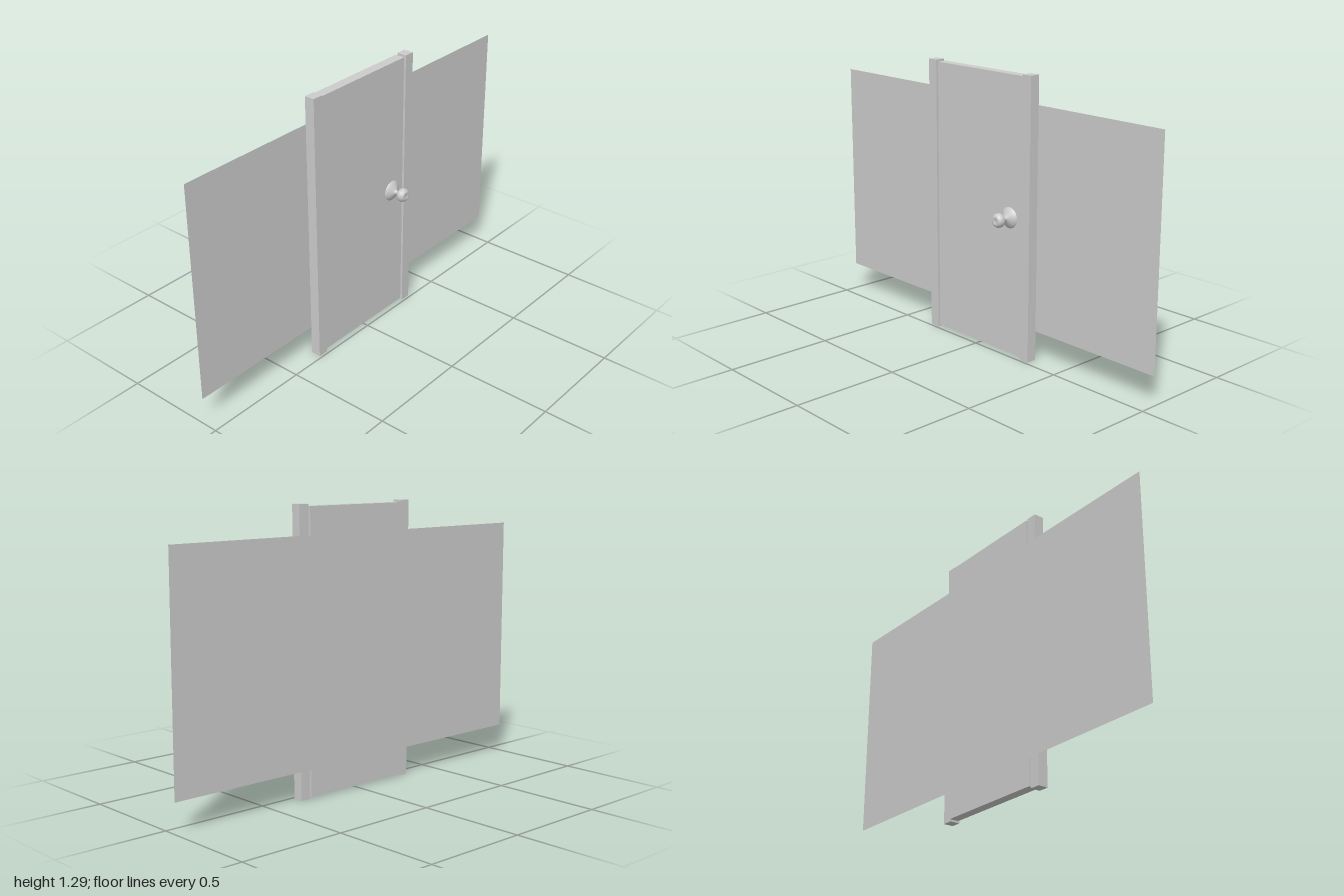
import * as THREE from 'three';

const grey = new THREE.MeshStandardMaterial({ color: 0xcccccc });
const greyThin = new THREE.MeshStandardMaterial({ color: 0xcccccc, side: THREE.DoubleSide });

export function createModel() {
  const model = new THREE.Group();
  model.name = 'door';

  const add = (name, geometry, x, y, z, material = grey) => {
    const mesh = new THREE.Mesh(geometry, material);
    mesh.name = name;
    mesh.position.set(x, y, z);
    model.add(mesh);
    return mesh;
  };

  // Door leaf, set slightly behind the posts
  add('doorPanel', new THREE.BoxGeometry(0.55, 1.275, 0.047), 0, 0.646, -0.0435);

  // Upright posts on both sides
  for (const [name, side] of [['leftPost', 1], ['rightPost', -1]]) {
    add(name, new THREE.BoxGeometry(0.05, 1.293, 0.048), side * 0.303, 0.6465, -0.036);
  }

  // Thin wall sheet lying against the back of the door
  add('wallSheet', new THREE.PlaneGeometry(2, 1.027), 0, 0.6465, -0.0675, greyThin);

  // Turned knob: flared rose, thin neck, rounded grip with a shallow front dimple
  const profile = [
    [0.048, -0.021], [0.048, -0.018], [0.041, -0.011], [0.029, -0.003],
    [0.017, 0.004], [0.010, 0.009], [0.009, 0.022], [0.018, 0.025],
    [0.027, 0.031], [0.032, 0.040], [0.032, 0.052], [0.028, 0.061],
    [0.021, 0.067], [0.014, 0.068], [0.010, 0.065], [0, 0.064],
  ].map(([r, z]) => new THREE.Vector2(r, z));
  const knob = add('knob', new THREE.LatheGeometry(profile, 24), 0.197, 0.646, 0);
  knob.rotation.x = Math.PI / 2;

  return model;
}
